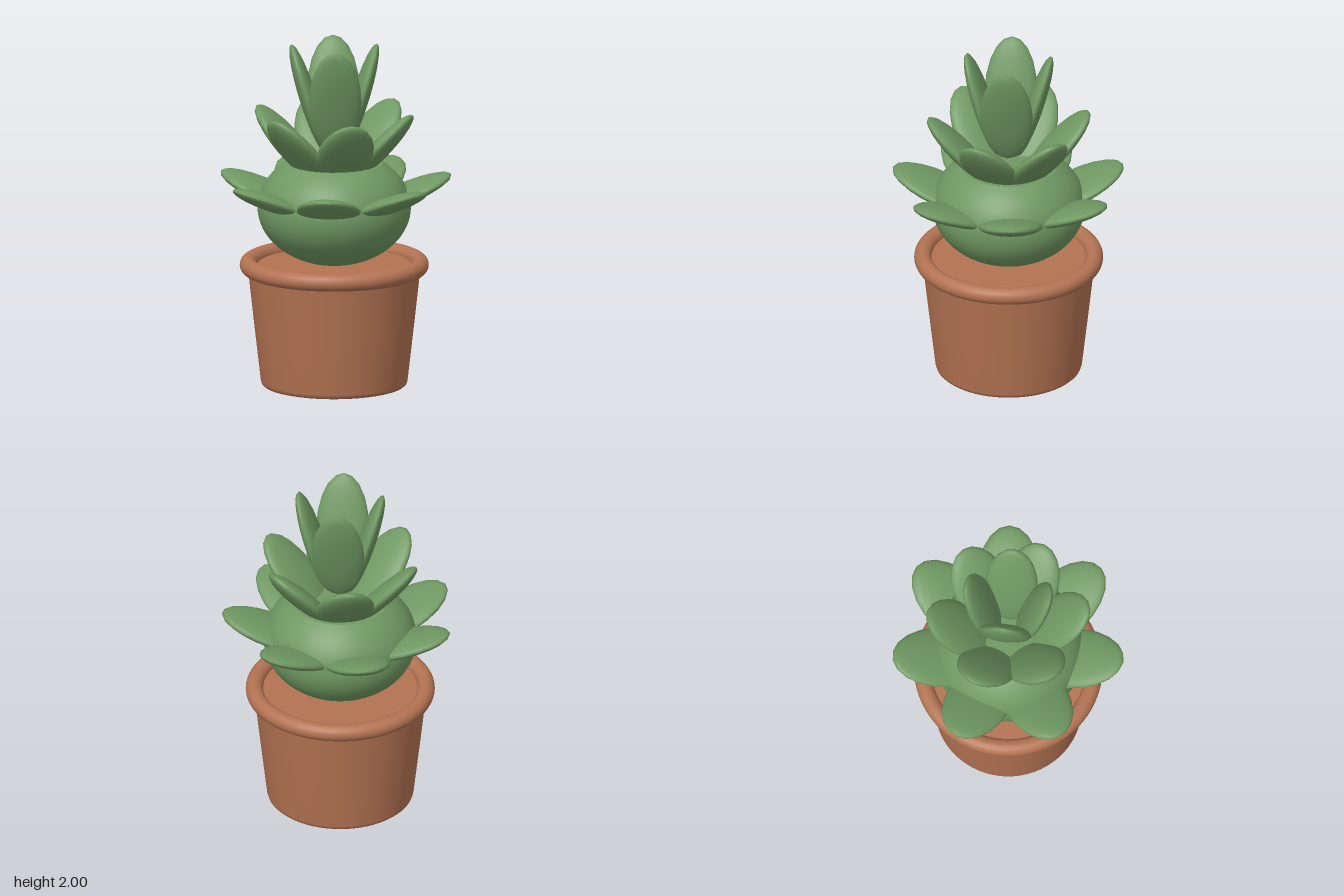
import * as THREE from 'three';

const green = new THREE.MeshStandardMaterial({ color: 0x6f9862 });
green.name = 'leaf green';
const clay = new THREE.MeshStandardMaterial({ color: 0xb37352 });
clay.name = 'terracotta';

const lathe = (points) =>
  new THREE.LatheGeometry(points.map(([r, y]) => new THREE.Vector2(r, y)), 64);

function add(parent, name, geometry, material) {
  const mesh = new THREE.Mesh(geometry, material);
  mesh.name = name;
  parent.add(mesh);
  return mesh;
}

// Ring of flattened ellipsoid leaves, each leaning outward from the axis
function leafTier(name, { count, start, radius, y, tilt, size }) {
  const tier = new THREE.Group();
  tier.name = name;
  const geometry = new THREE.SphereGeometry(1, 20, 14).scale(...size);
  for (let i = 0; i < count; i++) {
    const arm = new THREE.Group();
    arm.name = 'leaf';
    arm.rotation.y = -(start + (i * Math.PI * 2) / count);
    const leaf = add(arm, 'leafBlade', geometry, green);
    leaf.position.set(radius, y, 0);
    leaf.rotation.z = tilt;
    tier.add(arm);
  }
  return tier;
}

export function createModel() {
  const model = new THREE.Group();
  model.name = 'pottedSucculent';

  // Pot: tapered wall with rounded foot, rolled rim and flat fill
  const pot = new THREE.Group();
  pot.name = 'pot';
  add(pot, 'potWall', lathe([[0, 0], [0.39, 0], [0.405, 0.004], [0.416, 0.014], [0.421, 0.03], [0.46, 0.37], [0.497, 0.705]]), clay);
  const rim = add(pot, 'potRim', new THREE.TorusGeometry(0.492, 0.05, 20, 72), clay);
  rim.rotation.x = Math.PI / 2;
  rim.position.y = 0.705;
  const soil = add(pot, 'potFill', new THREE.CircleGeometry(0.49, 64), clay);
  soil.rotation.x = -Math.PI / 2;
  soil.position.y = 0.705;

  // Plump body: an ellipsoid cut flat at the top
  const plant = new THREE.Group();
  plant.name = 'plant';
  const profile = [];
  const low = -Math.PI / 2, high = Math.asin(0.257 / 0.333);
  for (let i = 0; i <= 28; i++) {
    const a = low + ((high - low) * i) / 28;
    profile.push([Math.max(0, 0.44 * Math.cos(a)), 1.043 + 0.333 * Math.sin(a)]);
  }
  add(plant, 'body', lathe(profile), green);
  const cap = add(plant, 'bodyTop', new THREE.CircleGeometry(0.28, 64), green);
  cap.rotation.x = -Math.PI / 2;
  cap.position.y = 1.3;

  // Leaf tiers, from low and spread to high and upright
  plant.add(
    leafTier('lowerLeaves', { count: 7, start: 0, radius: 0.39, y: 1.1, tilt: 0.38, size: [0.31, 0.05, 0.185] }),
    leafTier('middleLeaves', { count: 6, start: 0.6, radius: 0.275, y: 1.4, tilt: 0.83, size: [0.285, 0.055, 0.168] }),
    leafTier('upperLeaves', { count: 4, start: Math.PI / 4, radius: 0.15, y: 1.684, tilt: 1.274, size: [0.33, 0.05, 0.152] })
  );

  model.add(pot, plant);
  pot.position.x = plant.position.x = -0.03;
  return model;
}
